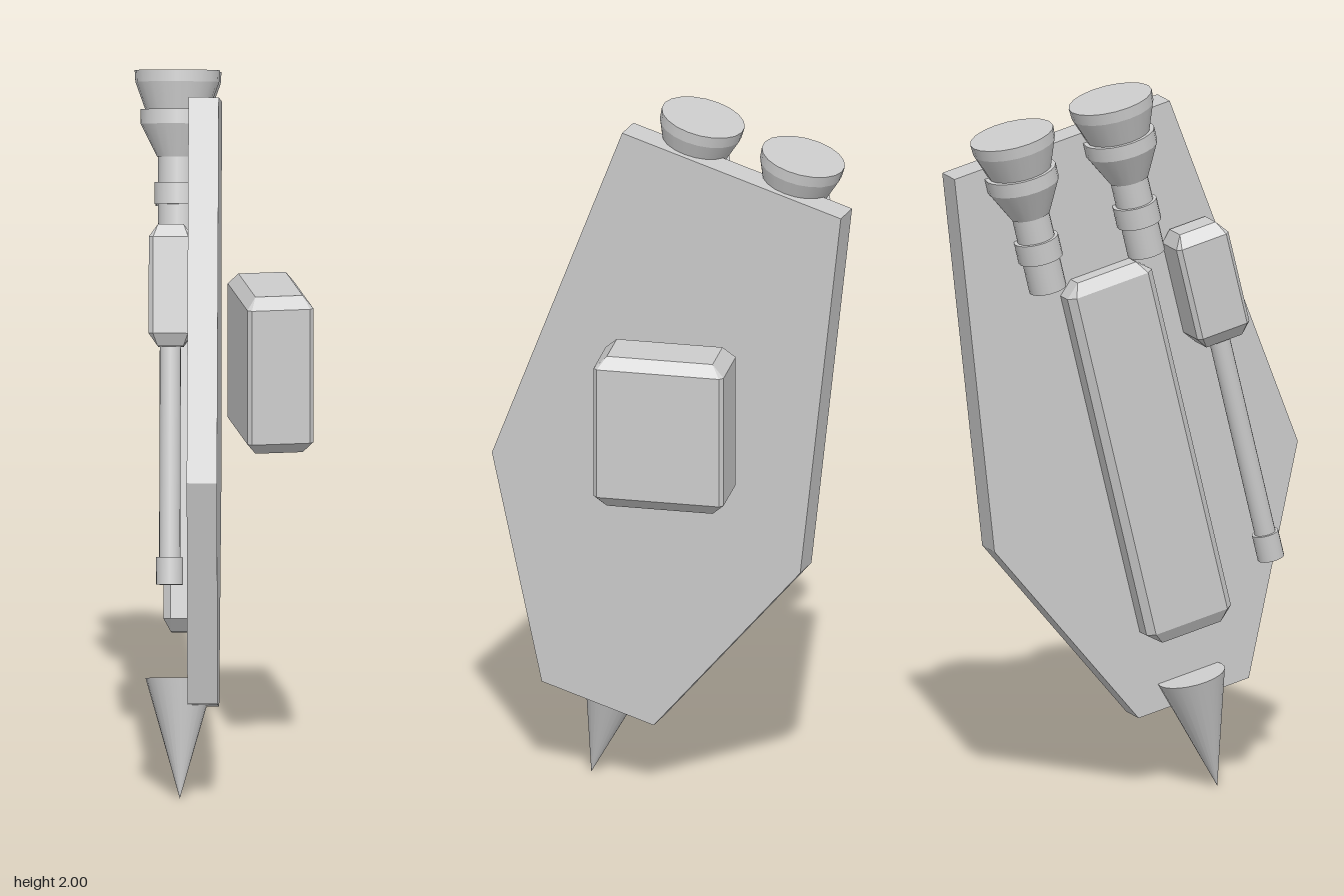
import * as THREE from 'three';
import { ConvexGeometry } from 'three/addons/geometries/ConvexGeometry.js';

const grey = new THREE.MeshStandardMaterial({ color: 0xcccccc });
grey.name = 'light grey';

function add(parent, name, geometry, x = 0, y = 0, z = 0) {
  const mesh = new THREE.Mesh(geometry, grey);
  mesh.name = name;
  mesh.position.set(x, y, z);
  parent.add(mesh);
  return mesh;
}

// Box with sloped end caps and slightly cut upright edges
function cutBox(sx, sy, sz, capX, capY, capZ, edge) {
  const points = [];
  for (const i of [-1, 1]) for (const j of [-1, 1]) for (const k of [-1, 1]) {
    const x = sx / 2, y = sy / 2, z = sz / 2;
    points.push(
      new THREE.Vector3(i * (x - capX), j * y, k * (z - capZ)),
      new THREE.Vector3(i * (x - edge), j * (y - capY), k * z),
      new THREE.Vector3(i * x, j * (y - capY), k * (z - edge))
    );
  }
  return new ConvexGeometry(points);
}

// Stack of round sections: [bottom y, bottom radius, top y, top radius]
function roundStack(parent, name, sections, x, z) {
  const group = new THREE.Group();
  group.name = name;
  group.position.set(x, 0, z);
  for (const [y0, r0, y1, r1] of sections) {
    add(group, name + 'Section', new THREE.CylinderGeometry(r1, r0, y1 - y0, 20), 0, (y0 + y1) / 2, 0);
  }
  parent.add(group);
}

export function createModel() {
  const model = new THREE.Group();
  model.name = 'shieldUnit';

  // Shield assembly, leaning back and turned slightly
  const shield = new THREE.Group();
  shield.name = 'shieldAssembly';
  shield.position.y = 1;
  shield.rotation.set(-0.24, -0.171, 0, 'YXZ');
  model.add(shield);
  const mid = 0.024;

  // Six-sided plate: shape x becomes -z, extrusion runs along x
  const outline = [[0.332, 0.88], [0.468, -0.18], [0.17, -0.78]];
  const corners = [...outline, ...outline.map(([u, v]) => [-u, v]).reverse()];
  const plate = new THREE.ExtrudeGeometry(
    new THREE.Shape(corners.map(([u, v]) => new THREE.Vector2(u, v))),
    { depth: 0.083, bevelEnabled: false }
  );
  plate.rotateY(Math.PI / 2);
  add(shield, 'shieldPlate', plate, -0.083, 0, mid);

  // Spike at the lower tip
  const spike = new THREE.ConeGeometry(0.095, 0.33, 24);
  spike.rotateX(Math.PI);
  add(shield, 'spike', spike, -0.105, -0.871, mid);

  // Raised panel on the inner face
  add(shield, 'innerPanel', cutBox(0.09, 1.07, 0.26, 0.02, 0.035, 0.04, 0.02), -0.105, -0.045, 0.045);

  // Pair of thrusters along the top edge
  for (const side of [-1, 1]) {
    roundStack(shield, side > 0 ? 'frontThruster' : 'rearThruster', [
      [0.925, 0.115, 0.957, 0.117],
      [0.85, 0.088, 0.925, 0.115],
      [0.81, 0.1, 0.85, 0.1],
      [0.72, 0.055, 0.81, 0.1],
      [0.65, 0.052, 0.72, 0.052],
      [0.59, 0.062, 0.65, 0.062],
      [0.5, 0.052, 0.59, 0.052]
    ], -0.116, mid + side * 0.152);
  }

  // Side weapon: housing, barrel and end ring
  add(shield, 'weaponHousing', cutBox(0.12, 0.335, 0.16, 0.025, 0.035, 0.025, 0.012), -0.13, 0.365, 0.32);
  roundStack(shield, 'weaponBarrel', [
    [-0.4, 0.029, 0.25, 0.029],
    [-0.455, 0.037, -0.38, 0.037]
  ], -0.131, 0.32);

  // Upright box beside the outer face
  add(model, 'outerBox', cutBox(0.183, 0.44, 0.364, 0.026, 0.032, 0.034, 0.011), 0.145, 1.153, -0.02);

  return model;
}
